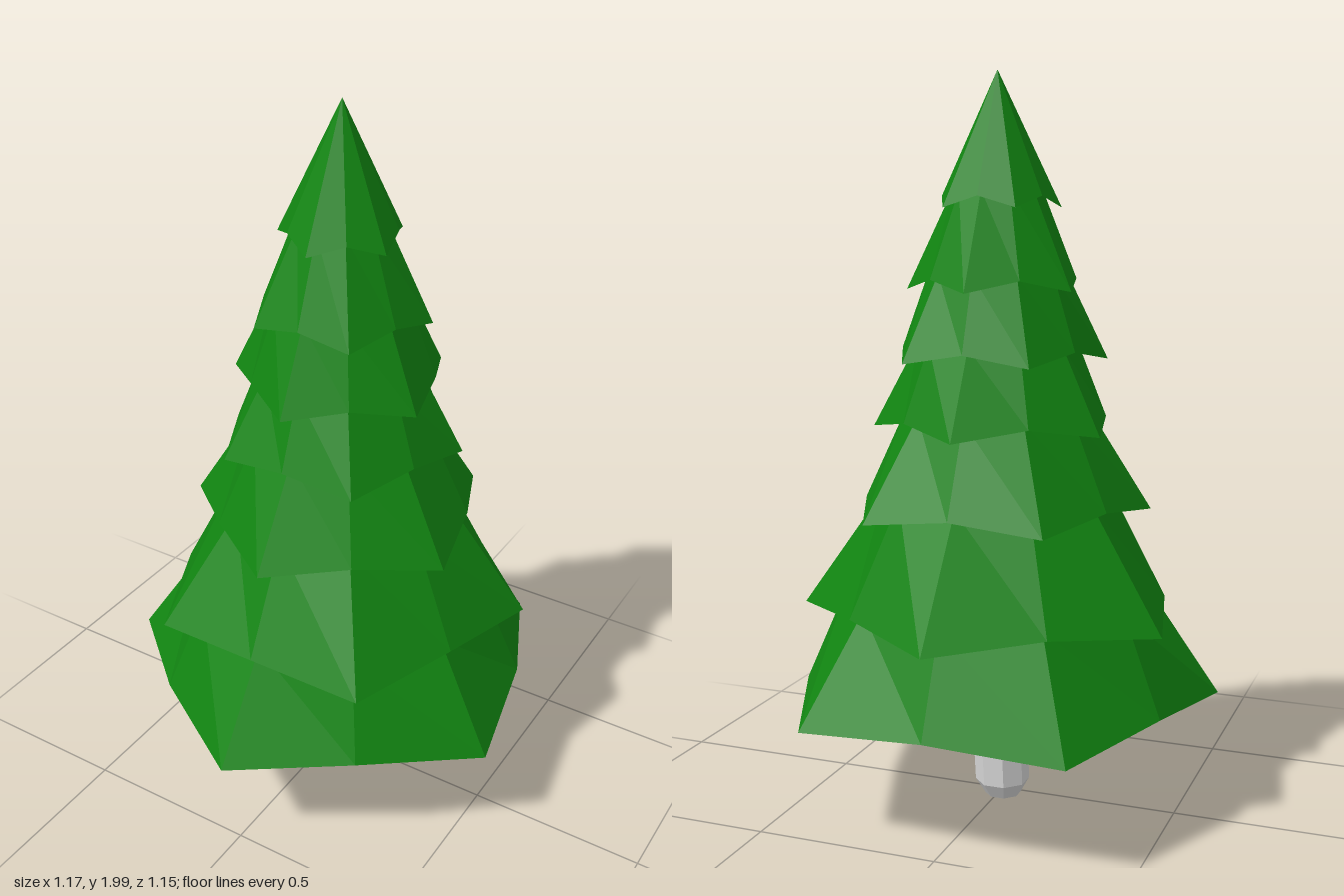
import * as THREE from 'three';

const SIDES = 10;
const AXIS_Z = -0.04;

// each tier: tip radius, tip height, notch radius, notch height, then the top ring where it meets the next tier
const TIERS = [
  { tip: 0.613, tipY: 0.315, notch: 0.533, notchY: 0.345, top: 0.42, topY: 0.605 },
  { tip: 0.535, tipY: 0.563, notch: 0.46, notchY: 0.59, top: 0.31, topY: 0.885 },
  { tip: 0.418, tipY: 0.835, notch: 0.36, notchY: 0.865, top: 0.25, topY: 1.105 },
  { tip: 0.337, tipY: 1.06, notch: 0.293, notchY: 1.09, top: 0.215, topY: 1.29 },
  { tip: 0.296, tipY: 1.245, notch: 0.256, notchY: 1.275, top: 0.185, topY: 1.475 },
  { tip: 0.243, tipY: 1.43, notch: 0.21, notchY: 1.46, top: 0.12, topY: 1.69 },
  { tip: 0.17, tipY: 1.645, notch: 0.148, notchY: 1.675, top: 0, topY: 2 },
];

// ring of points about the trunk axis, starting at the front
function ring(radiusAt, heightAt) {
  return Array.from({ length: SIDES }, (_, i) => {
    const a = (i / SIDES) * Math.PI * 2;
    return [Math.sin(a) * radiusAt(i), heightAt(i), AXIS_Z + Math.cos(a) * radiusAt(i)];
  });
}

// skin between two rings, lower ring first
function skin(lower, upper) {
  const pos = [];
  for (let i = 0; i < SIDES; i++) {
    const j = (i + 1) % SIDES;
    pos.push(...lower[i], ...lower[j], ...upper[i]);
    pos.push(...lower[j], ...upper[j], ...upper[i]);
  }
  const geo = new THREE.BufferGeometry();
  geo.setAttribute('position', new THREE.Float32BufferAttribute(pos, 3));
  geo.computeVertexNormals();
  return geo;
}

export function createModel() {
  const model = new THREE.Group();
  model.name = 'pineTree';

  const green = new THREE.MeshStandardMaterial({ color: 0x118411 });
  green.name = 'needle green';
  const grey = new THREE.MeshStandardMaterial({ color: 0xd6d6d6 });
  grey.name = 'trunk grey';
  green.flatShading = grey.flatShading = true;

  const add = (name, geo, mat, parent = model) => {
    const mesh = new THREE.Mesh(geo, mat);
    mesh.name = name;
    parent.add(mesh);
    return mesh;
  };

  // branch tiers: tips alternate from one tier to the next
  const foliage = new THREE.Group();
  foliage.name = 'foliage';
  model.add(foliage);
  let below = ring(() => 0, () => 0.335);
  TIERS.forEach((t, k) => {
    const isTip = (i) => (i + k) % 2 === 0;
    const hem = ring((i) => (isTip(i) ? t.tip : t.notch), (i) => (isTip(i) ? t.tipY : t.notchY));
    const top = ring(() => t.top, () => t.topY);
    add(`tierUnderside${k + 1}`, skin(below, hem), green, foliage);
    add(`tier${k + 1}`, skin(hem, top), green, foliage);
    below = top;
  });

  // trunk with a rounded foot, leaning slightly
  const profile = [[0, 0.008], [0.05, 0.014], [0.075, 0.055], [0.077, 0.2], [0.076, 0.36]]
    .map(([r, y]) => new THREE.Vector2(r, y));
  const trunkGeo = new THREE.LatheGeometry(profile, 8, Math.PI / 8);
  const p = trunkGeo.attributes.position;
  for (let i = 0; i < p.count; i++) p.setX(i, p.getX(i) - 0.016 + p.getY(i) * 0.04);
  trunkGeo.computeVertexNormals();
  add('trunk', trunkGeo, grey).position.z = AXIS_Z;

  return model;
}
